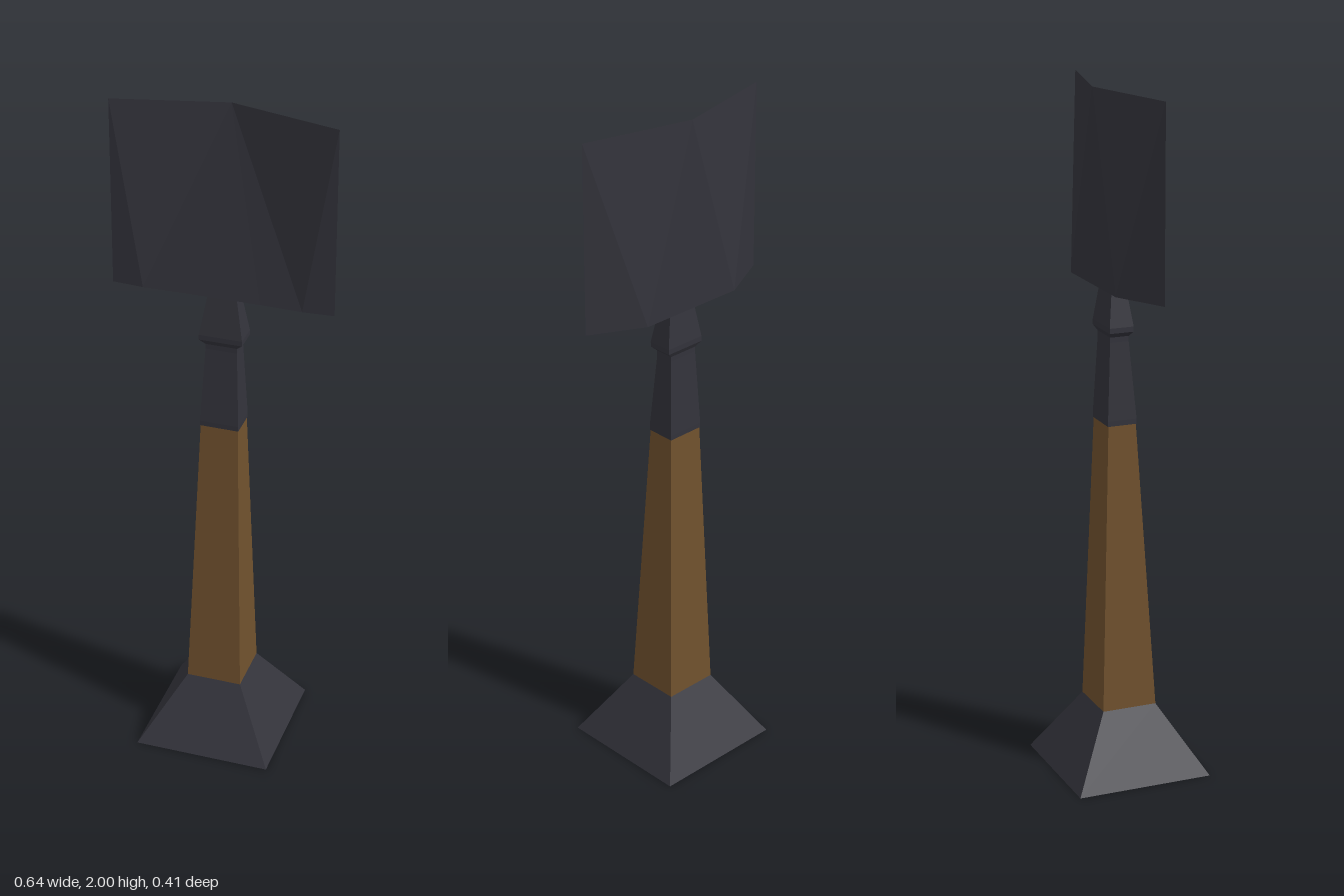
import * as THREE from 'three';

const iron = new THREE.MeshStandardMaterial({ color: 0x33333b, flatShading: true });
iron.name = 'dark iron';
const wood = new THREE.MeshStandardMaterial({ color: 0x70512d, flatShading: true });
wood.name = 'brown wood';

// Faceted mesh from corner points and triangles
function facets(name, points, triangles, material) {
  const geometry = new THREE.BufferGeometry();
  geometry.setAttribute('position', new THREE.Float32BufferAttribute(points.flat(), 3));
  geometry.setIndex(triangles.flat());
  const flat = geometry.toNonIndexed();
  flat.computeVertexNormals();
  const mesh = new THREE.Mesh(flat, material);
  mesh.name = name;
  return mesh;
}

// Four-sided shaft through rings of [y, half width, back z, front z]
function shaft(name, rings, material) {
  const points = rings.flatMap(([y, w, b, f]) => [[-w, y, f], [w, y, f], [w, y, b], [-w, y, b]]);
  const triangles = [[0, 2, 1], [0, 3, 2]];
  for (let r = 0; r < rings.length - 1; r++) {
    for (let i = 0; i < 4; i++) {
      const a = r * 4 + i, b = r * 4 + (i + 1) % 4;
      triangles.push([a, b, b + 4], [a, b + 4, a + 4]);
    }
  }
  const t = (rings.length - 1) * 4;
  triangles.push([t, t + 1, t + 2], [t, t + 2, t + 3]);
  return facets(name, points, triangles, material);
}

export function createModel() {
  const model = new THREE.Group();
  model.name = 'broadBladedTool';

  model.add(shaft('flaredBase', [[0, 0.203, -0.203, 0.203], [0.2, 0.082, -0.082, 0.082]], iron));
  model.add(shaft('handle', [[0.2, 0.082, -0.082, 0.082], [1.055, 0.055, -0.054, 0.029]], wood));
  model.add(shaft('neck', [
    [1.05, 0.057, -0.056, 0.031],
    [1.065, 0.057, -0.056, 0.031],
    [1.29, 0.046, -0.045, 0.011],
    [1.305, 0.046, -0.045, 0.011],
    [1.32, 0.063, -0.053, 0.019],
    [1.335, 0.063, -0.053, 0.019],
    [1.455, 0.042, -0.038, 0.002],
  ], iron));

  // Blade: bent sharp edge on top, widening to a thick underside
  const top = 2, low = 1.45, back = -0.078;
  const points = [
    [-0.32, top, 0], [0, top, back], [0.32, top, 0],
    [-0.32, low, 0], [-0.23, low, 0.006], [-0.11, low, 0.003],
    [0.11, low, 0.003], [0.23, low, 0.006], [0.32, low, 0],
    [0.165, low, back], [-0.165, low, back],
  ];
  const front = [[0, 3, 4], [0, 4, 1], [1, 4, 5], [1, 5, 6], [1, 6, 7], [1, 7, 2], [2, 7, 8]];
  const rear = [[0, 1, 10], [0, 10, 3], [1, 9, 10], [1, 2, 9], [2, 8, 9]];
  const underside = [[3, 10, 4], [4, 10, 5], [5, 10, 9], [5, 9, 6], [6, 9, 7], [7, 9, 8]];
  model.add(facets('blade', points, [...front, ...rear, ...underside], iron));
  return model;
}
